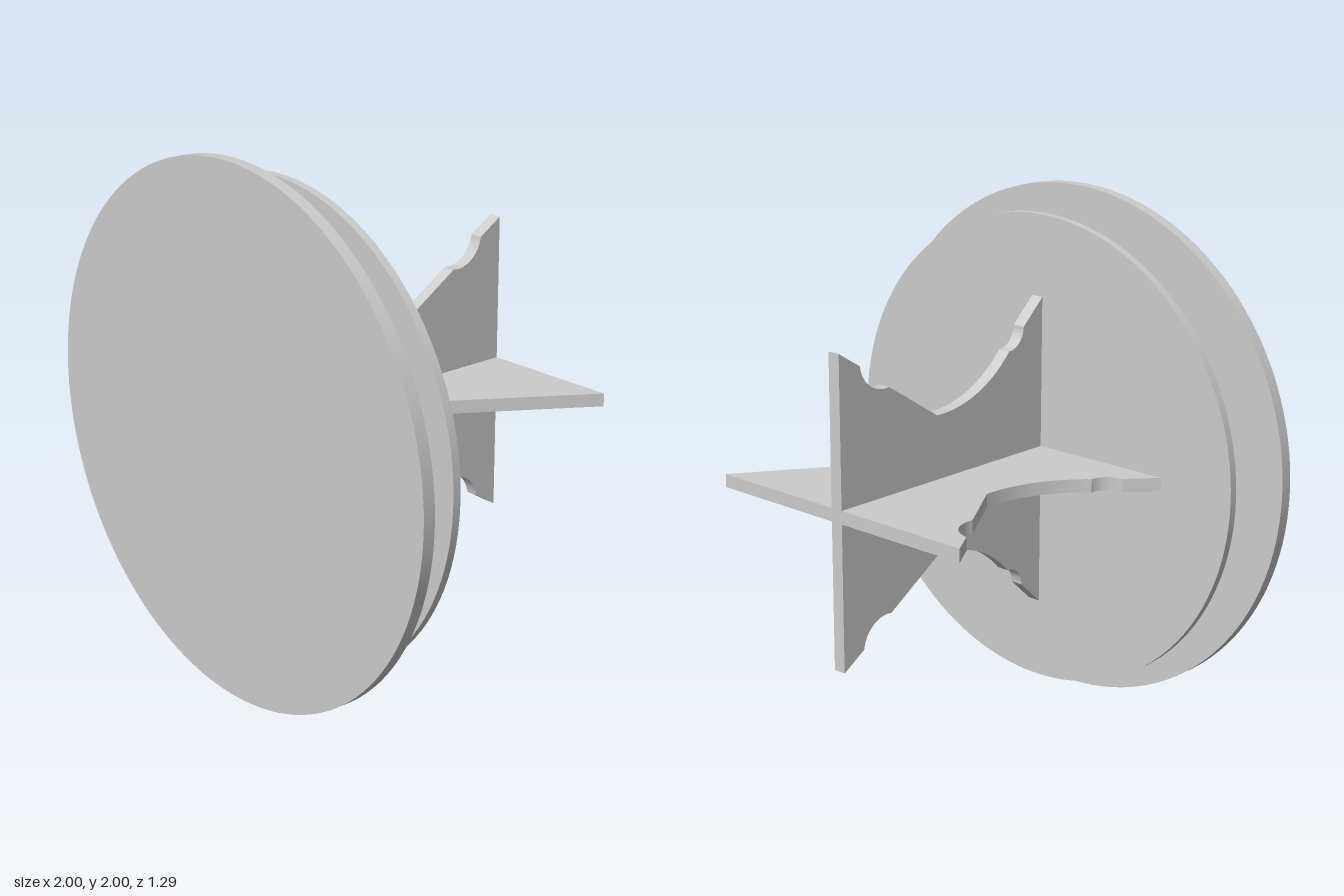
import * as THREE from 'three';

const T = 0.05; // plate thickness
const material = new THREE.MeshStandardMaterial({ color: 0xcccccc });

// Points (radius, z) along an arc around a centre; angles come from the end offsets
function arc(r, z, radius, from, to, steps) {
  return Array.from({ length: steps + 1 }, (_, i) => {
    const a = THREE.MathUtils.degToRad(from + ((to - from) * i) / steps);
    return new THREE.Vector2(r - radius * Math.cos(a), z + radius * Math.sin(a));
  });
}

// One edge of a plate, running from the small disc to the back tip
function edge(withRearScoop) {
  const points = [
    new THREE.Vector2(0.607, 0.405),
    ...arc(0.51, 0.22, 0.08, 90, 0, 10), // front scoop
    ...arc(0.757, -0.145, 0.49, 48, -2.4, 24), // waist
  ];
  if (withRearScoop) points.push(...arc(0.54, -0.428, 0.12, 10, -82, 12));
  points.push(new THREE.Vector2(0.585, -0.645));
  return points;
}

// Flat part drawn in (x, z), centred on its thickness
function slab(points) {
  const geometry = new THREE.ExtrudeGeometry(new THREE.Shape(points), { depth: T, bevelEnabled: false });
  return geometry.translate(0, 0, -T / 2).rotateX(Math.PI / 2);
}

function plate(rightScoop, leftScoop) {
  const left = edge(leftScoop);
  const right = edge(rightScoop).map((p) => new THREE.Vector2(-p.x, p.y)).reverse();
  return slab([...left, ...right]);
}

export function createModel() {
  const model = new THREE.Group();
  const add = (name, geometry, parent = model) => {
    const mesh = new THREE.Mesh(geometry, material);
    mesh.name = name;
    parent.add(mesh);
    return mesh;
  };

  // Two round discs facing the front
  const disc = (name, radius, back, front) =>
    add(name, new THREE.CylinderGeometry(radius, radius, front - back, 128)
      .rotateX(Math.PI / 2).translate(0, 1, (front + back) / 2));
  disc('frontDisc', 1, 0.597, 0.645);
  disc('rearDisc', 0.915, 0.403, 0.435);

  // Two crossed plates, each with a pair of tabs joining the discs
  const crossPlate = (name, rightScoop, turn) => {
    const group = new THREE.Group();
    group.name = name;
    add(name + 'Body', plate(rightScoop, turn !== 0), group);
    for (const side of [-1, 1]) {
      const tab = add(name + 'Tab', new THREE.BoxGeometry(0.295, T, 0.166), group);
      tab.position.set(side * 0.397, 0, 0.516);
    }
    group.position.y = 1;
    group.rotation.z = turn;
    model.add(group);
  };
  crossPlate('horizontalPlate', true, 0); // its left rear edge stays straight
  crossPlate('verticalPlate', true, Math.PI / 2);

  return model;
}
